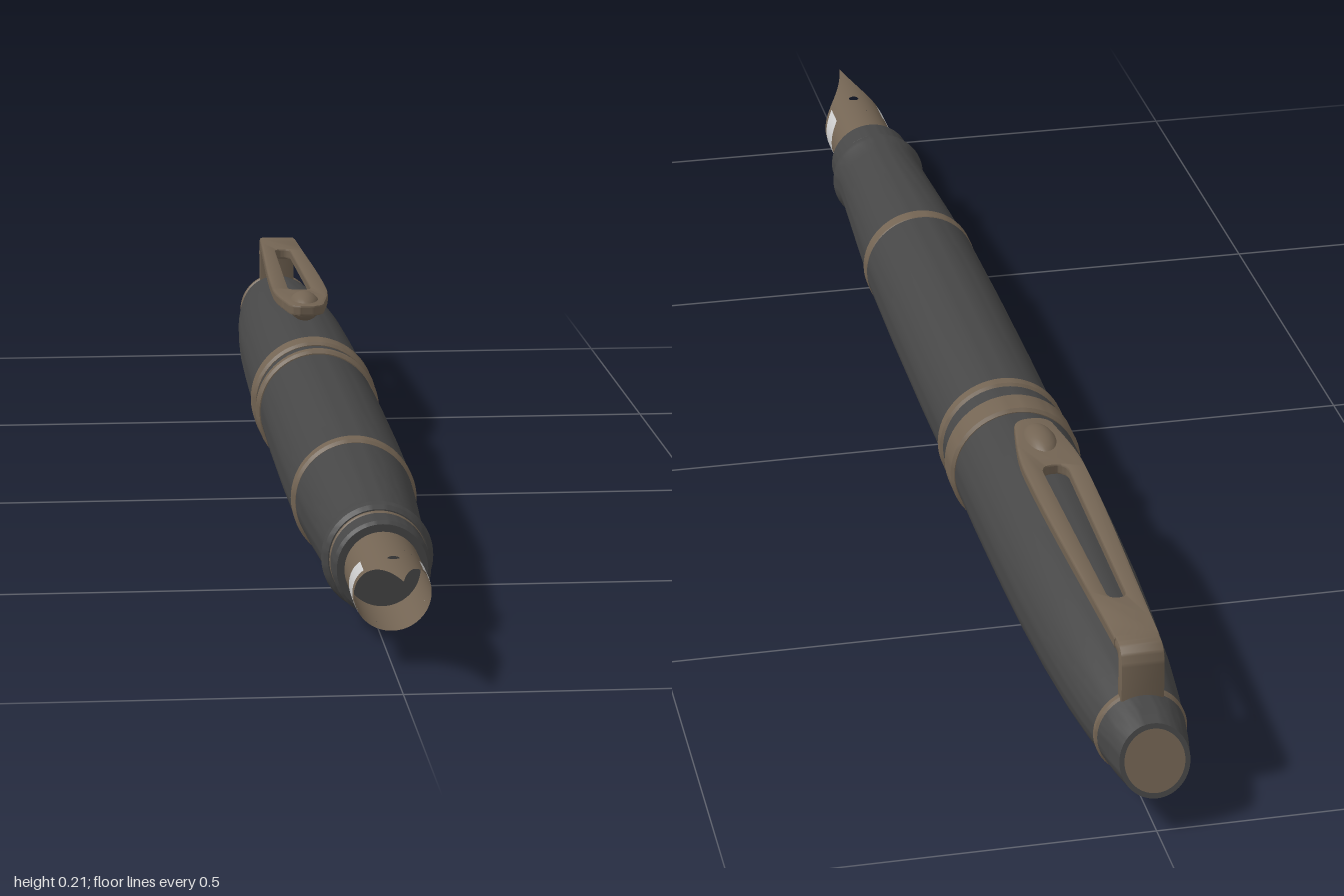
import * as THREE from 'three';
import { toCreasedNormals } from 'three/addons/utils/BufferGeometryUtils.js';
import { ParametricGeometry } from 'three/addons/geometries/ParametricGeometry.js';

const AXIS_Y = 0.086; // height of the pen's long axis
const NIB_R = 0.045;

const material = (color, side = THREE.FrontSide) => new THREE.MeshStandardMaterial({ color, side });
const dark = material(0x464646);
const bronze = material(0x736453);
const bronzeSheet = material(0x736453, THREE.DoubleSide);
const silverSheet = material(0xcccccc, THREE.DoubleSide);

export function createModel() {
  const pen = new THREE.Group();
  pen.name = 'fountainPen';

  const add = (name, geometry, mat, y = AXIS_Y) => {
    const mesh = new THREE.Mesh(geometry, mat);
    mesh.name = name;
    mesh.position.y = y;
    pen.add(mesh);
  };

  // Turned part along z: points are [z, radius], from back to front
  const turned = (points) => {
    const profile = points.map(([z, r]) => new THREE.Vector2(r, z));
    return new THREE.LatheGeometry(profile, 64).rotateX(Math.PI / 2);
  };
  const addTurned = (name, points, mat) => add(name, toCreasedNormals(turned(points), 0.5), mat);

  // Ring with small chamfers
  const addRing = (name, z0, z1, r, mat) => {
    const c = Math.min(0.004, (z1 - z0) / 4);
    addTurned(name, [[z0, 0], [z0, r - c], [z0 + c, r], [z1 - c, r], [z1, r - c], [z1, 0]], mat);
  };

  // Cap, with a taper towards the back
  addTurned('cap', [
    [-0.915, 0], [-0.915, 0.053], [-0.87, 0.059], [-0.8, 0.066], [-0.7, 0.0725],
    [-0.6, 0.077], [-0.48, 0.0795], [-0.35, 0.081], [-0.24, 0.081], [-0.24, 0],
  ], dark);
  addRing('capBand', -0.25, -0.204, 0.086, bronze);
  addRing('capGroove', -0.21, -0.165, 0.081, dark);
  addRing('capLip', -0.174, -0.152, 0.0845, bronze);
  addRing('clipRing', -0.922, -0.908, 0.0555, bronze);

  // Finial with a slanted end
  const slant = (geometry) => {
    const p = geometry.attributes.position;
    for (let i = 0; i < p.count; i++) {
      const t = Math.max(0, (-0.92 - p.getZ(i)) / 0.066);
      p.setZ(i, p.getZ(i) + 0.33 * p.getY(i) * t);
    }
    return toCreasedNormals(geometry, 0.5);
  };
  add('finial', slant(turned([[-0.986, 0.036], [-0.986, 0.042], [-0.955, 0.048], [-0.92, 0.053]])), dark);
  add('finialDisc', slant(turned([[-0.986, 0], [-0.986, 0.036]])), bronze);

  // Barrel and grip section
  addTurned('barrel', [
    [-0.165, 0], [-0.165, 0.079], [0, 0.08], [0.2, 0.0795], [0.375, 0.0775], [0.375, 0],
  ], dark);
  addRing('barrelRing', 0.37, 0.398, 0.0785, bronze);
  addTurned('grip', [
    [0.39, 0], [0.39, 0.0745], [0.48, 0.071], [0.58, 0.066], [0.65, 0.0625], [0.672, 0.0625],
    [0.684, 0.066], [0.692, 0.067], [0.7, 0.065], [0.705, 0.06], [0.705, 0],
  ], dark);
  addRing('gripRing', 0.7, 0.713, 0.0585, bronze);
  addRing('gripCollar', 0.711, 0.757, 0.058, dark);

  // Nib: a thin open tube whose front edge sweeps up to a point;
  // a is the angle from the top
  const edge = (a) => 0.872 + 0.128 * Math.exp(-Math.abs(a) / 0.5);
  const lerp = THREE.MathUtils.lerp;
  const onTube = (a, z, target, r = NIB_R) => target.set(r * Math.sin(a), r * Math.cos(a), z);
  const TIP_A = 1;
  const TIP_Z = 0.84;

  const tube = new THREE.CylinderGeometry(NIB_R, NIB_R, TIP_Z - 0.74, 64, 1, true);
  add('nibBase', tube.rotateX(Math.PI / 2).translate(0, 0, (TIP_Z + 0.74) / 2), bronzeSheet);

  add('nibUnderside', new ParametricGeometry((u, v, target) => {
    const a = lerp(TIP_A, 2 * Math.PI - TIP_A, u);
    onTube(a, lerp(TIP_Z, edge(a > Math.PI ? 2 * Math.PI - a : a), v), target);
  }, 48, 4), bronzeSheet);

  // Point of the nib, laid out around the breather hole
  add('nibPoint', new ParametricGeometry((u, v, target) => {
    const th = u * 2 * Math.PI;
    const c = Math.cos(th);
    const s = Math.sin(th);
    const m = Math.max(Math.abs(c), Math.abs(s));
    const a = (TIP_A * c) / m;
    const z = lerp(TIP_Z, edge(a), (s / m + 1) / 2);
    onTube(lerp((0.007 / NIB_R) * c, a, v), lerp(0.885 + 0.007 * s, z, v), target);
  }, 96, 8), bronzeSheet);

  for (const side of [1, -1]) {
    add(side > 0 ? 'leftNibInlay' : 'rightNibInlay', new ParametricGeometry((u, v, target) => {
      const a = lerp(0.85, 2.4, u);
      onTube(side * a, edge(a) - lerp(0.055, 0.012, v), target, NIB_R + 0.0006);
    }, 20, 2), silverSheet);
  }

  // Clip: slotted bar (outline in x and -z)
  const bar = new THREE.Shape();
  bar.moveTo(-0.024, 0.89);
  bar.bezierCurveTo(-0.028, 0.75, -0.036, 0.6, -0.036, 0.47);
  bar.bezierCurveTo(-0.036, 0.42, -0.027, 0.38, -0.022, 0.347);
  bar.quadraticCurveTo(-0.018, 0.332, 0, 0.332);
  bar.quadraticCurveTo(0.018, 0.332, 0.022, 0.347);
  bar.bezierCurveTo(0.027, 0.38, 0.036, 0.42, 0.036, 0.47);
  bar.bezierCurveTo(0.036, 0.6, 0.028, 0.75, 0.024, 0.89);
  const slot = new THREE.Path();
  slot.moveTo(-0.019, 0.475);
  slot.quadraticCurveTo(-0.017, 0.456, 0, 0.456);
  slot.quadraticCurveTo(0.017, 0.456, 0.019, 0.475);
  slot.lineTo(0.014, 0.79);
  slot.quadraticCurveTo(0.012, 0.803, 0, 0.803);
  slot.quadraticCurveTo(-0.012, 0.803, -0.014, 0.79);
  bar.holes.push(slot);
  const bevel = { bevelEnabled: true, bevelThickness: 0.003, bevelSize: 0.003, bevelSegments: 2 };
  const barGeometry = new THREE.ExtrudeGeometry(bar, { depth: 0.009, curveSegments: 12, ...bevel });
  add('clipBar', toCreasedNormals(barGeometry.rotateX(-Math.PI / 2), 0.6), bronze, 0.188);

  // Clip leg bending down into the cap (outline in -z and y)
  const leg = new THREE.Shape();
  leg.moveTo(0.88, 0.197);
  leg.lineTo(0.9, 0.197);
  leg.quadraticCurveTo(0.922, 0.197, 0.922, 0.172);
  leg.lineTo(0.922, 0.12);
  leg.lineTo(0.91, 0.12);
  leg.lineTo(0.91, 0.175);
  leg.quadraticCurveTo(0.91, 0.188, 0.898, 0.188);
  leg.lineTo(0.88, 0.188);
  const legGeometry = new THREE.ExtrudeGeometry(leg, { depth: 0.046, curveSegments: 10, ...bevel });
  legGeometry.translate(0, 0, -0.023).rotateY(Math.PI / 2);
  add('clipLeg', toCreasedNormals(legGeometry, 0.6), bronze, 0);

  // Rounded pad beneath the clip's free end
  const pad = new THREE.SphereGeometry(1, 24, 12).scale(0.022, 0.02, 0.045).translate(0, 0, -0.385);
  add('clipPad', pad, bronze, 0.19);

  return pen;
}
